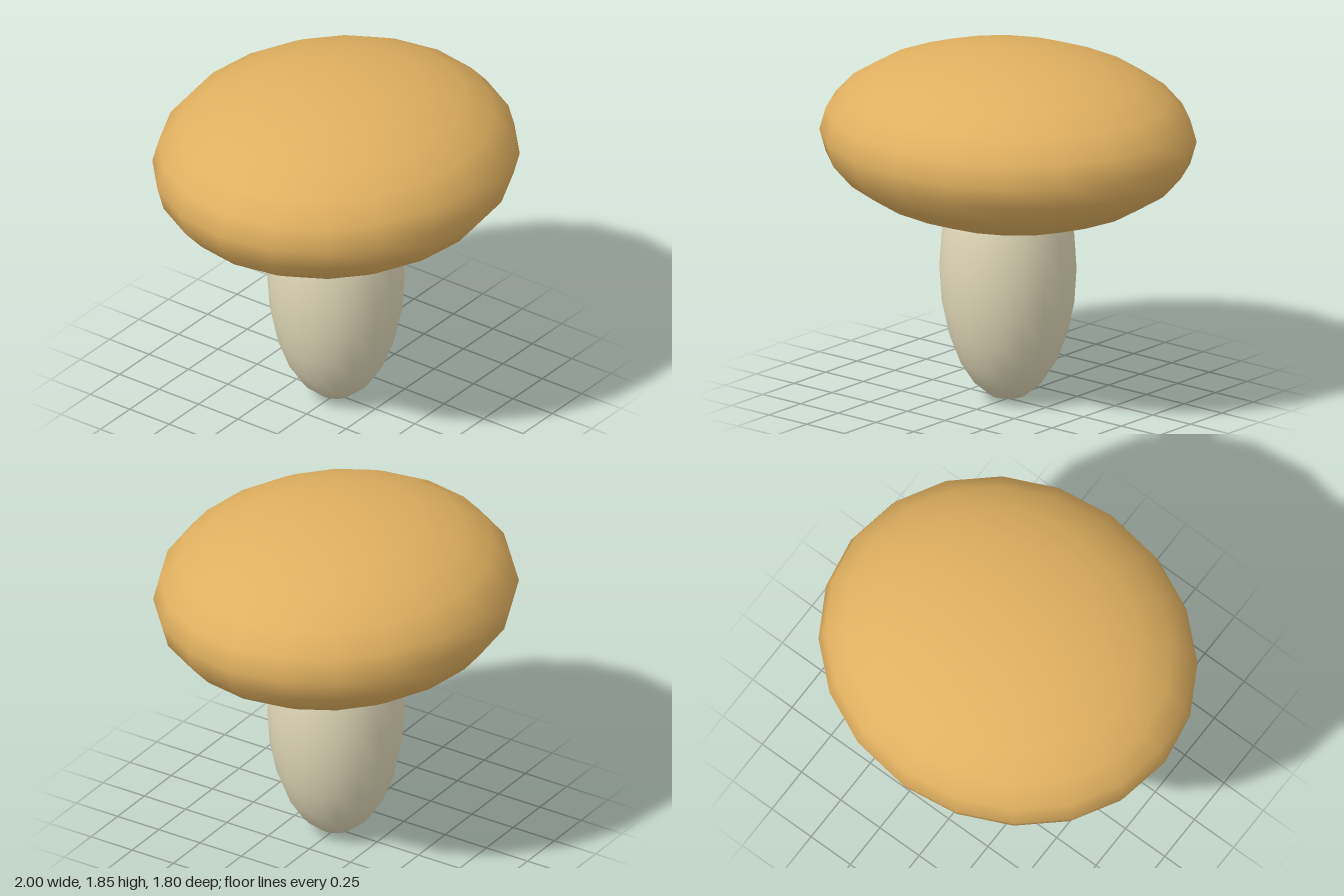
import * as THREE from 'three';

// Smooth ellipsoid resting at a given centre height
function ellipsoid(name, color, rx, ry, rz, y) {
  const geometry = new THREE.SphereGeometry(1, 20, 12);
  geometry.scale(rx, ry, rz);
  const mesh = new THREE.Mesh(geometry, new THREE.MeshStandardMaterial({ color }));
  mesh.name = name;
  mesh.position.y = y;
  return mesh;
}

export function createModel() {
  const mushroom = new THREE.Group();
  mushroom.name = 'mushroom';

  // Tapered stem, its upper end buried in the cap
  mushroom.add(ellipsoid('stem', 0xe0d8b8, 0.35, 0.7, 0.35, 0.7));

  // Broad flattened cap, slightly wider than deep
  mushroom.add(ellipsoid('cap', 0xe0b060, 1, 0.45, 0.9, 1.4));

  return mushroom;
}
